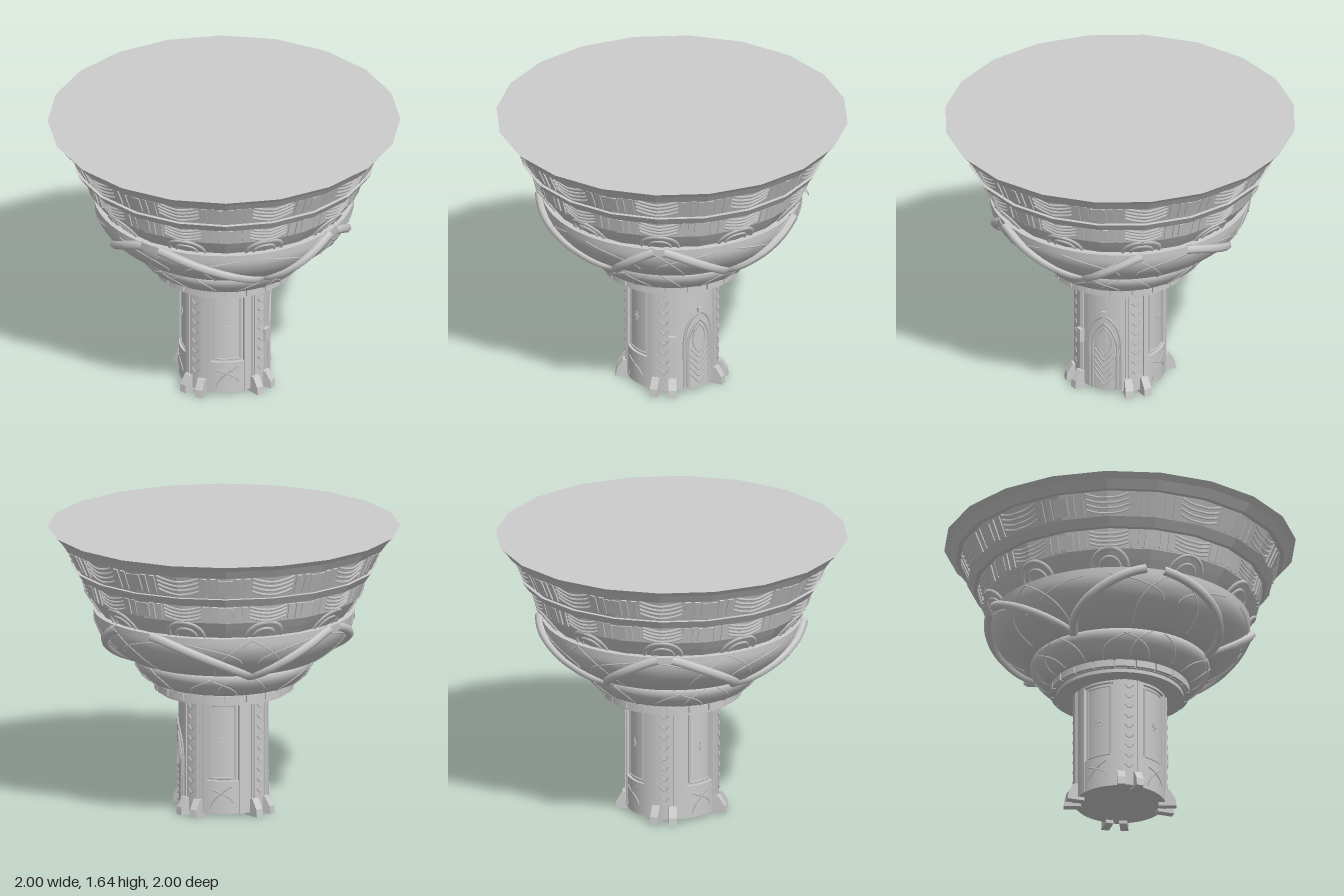
import * as THREE from 'three';

const D = Math.PI / 180;
const smooth = new THREE.MeshStandardMaterial({ color: 0xcccccc });
const flat = new THREE.MeshStandardMaterial({ color: 0xcccccc, flatShading: true });

// point at azimuth a (degrees, 0 = front, 90 = model's left), radius r, height y
const polar = (a, r, y) => new THREE.Vector3(Math.sin(a * D) * r, y, Math.cos(a * D) * r);

// linear radius lookup in a [radius, height] profile
function radiusAt(profile, y) {
  for (let i = 1; i < profile.length; i++) {
    const [r0, y0] = profile[i - 1], [r1, y1] = profile[i];
    if (y <= y1) return r0 + (r1 - r0) * Math.max(0, (y - y0) / (y1 - y0));
  }
  return profile[profile.length - 1][0];
}
// distance to the wall of a 20-sided prism whose corners lie at radius r
const facet = (a, r) => r * Math.cos(9 * D) / Math.cos(((((a % 18) + 18) % 18) - 9) * D);

const BOWL = [[0.5, 0.885], [0.55, 0.90], [0.625, 0.95], [0.68, 1.0], [0.715, 1.05], [0.735, 1.1], [0.74, 1.16]];
const CUSHION = [[0.38, 0.74], [0.43, 0.76], [0.475, 0.80], [0.503, 0.84], [0.51, 0.87], [0.505, 0.888]];
const UPPER = [[0.70, 1.15], [0.745, 1.21], [0.78, 1.26], [0.81, 1.37], [0.835, 1.371], [0.87, 1.42],
  [0.85, 1.421], [0.91, 1.56], [0.935, 1.561], [0.97, 1.61], [1.0, 1.64]];

export function createModel() {
  const model = new THREE.Group();
  const add = (name, geo, mat = smooth, parent = model) => {
    const m = new THREE.Mesh(geo, mat);
    m.name = name;
    parent.add(m);
    return m;
  };
  const group = (name) => {
    const g = new THREE.Group();
    g.name = name;
    model.add(g);
    return g;
  };
  const lathe = (name, pts, n, mat) =>
    add(name, new THREE.LatheGeometry(pts.map(p => new THREE.Vector2(...p)), n), mat);
  const tube = (name, pts, r, parent, seg = 12, sides = 4) =>
    add(name, new THREE.TubeGeometry(new THREE.CatmullRomCurve3(pts), seg, r, sides), smooth, parent);
  // curved block: part of a ring between two azimuths
  const sector = (name, a0, a1, r0, r1, y0, y1, parent) => {
    const s = new THREE.Shape();
    s.absarc(0, 0, r1, (a0 - 90) * D, (a1 - 90) * D, false);
    s.absarc(0, 0, r0, (a1 - 90) * D, (a0 - 90) * D, true);
    const geo = new THREE.ExtrudeGeometry(s, { depth: y1 - y0, bevelEnabled: false, curveSegments: 10 });
    geo.rotateX(-Math.PI / 2).translate(0, y0, 0);
    return add(name, geo, smooth, parent);
  };
  const box = (name, w, h, d, a, r, y, tilt, parent) => {
    const geo = new THREE.BoxGeometry(w, h, d).rotateX(tilt).translate(0, y, r).rotateY(a * D);
    return add(name, geo, flat, parent);
  };

  // faceted upper basin with a closed top
  lathe('upperBasin', [[0, 1.15], ...UPPER, [0, 1.64]], 20, flat);

  // rounded bowl and cushion
  const dense = (p) => new THREE.SplineCurve(p.map(q => new THREE.Vector2(...q))).getPoints(20).map(v => [v.x, v.y]);
  lathe('bowl', dense(BOWL), 60, smooth);
  lathe('bowlTop', [[0.74, 1.16], [0.66, 1.16]], 60, smooth);
  lathe('bowlUnderside', [[0.3, 0.885], [0.5, 0.885]], 60, smooth);
  lathe('cushion', dense(CUSHION), 60, smooth);
  lathe('cushionTop', [[0.505, 0.888], [0.4, 0.89]], 60, smooth);

  // collar under the cushion
  add('collarCore', new THREE.CylinderGeometry(0.38, 0.375, 0.04, 48).translate(0, 0.72, 0));
  add('collarSlab', new THREE.CylinderGeometry(0.36, 0.36, 0.025, 48).translate(0, 0.691, 0));
  const collar = group('collarStones');
  for (let i = 0; i < 20; i++) sector('collarStone', i * 18 + 0.6, i * 18 + 17.4, 0.34, 0.395, 0.702, 0.742, collar);

  // drapery, pilasters and arches around the basin
  const decor = group('basinDecoration');
  const bands = [[1.43, 1.555], [1.265, 1.365]];
  for (let i = 0; i < 10; i++) {
    const a = i * 36;
    for (const [y0, y1] of bands) {
      const h = y1 - y0, mid = (y0 + y1) / 2;
      const tilt = Math.atan2(radiusAt(UPPER, y1) - radiusAt(UPPER, y0), h);
      for (let k = 0; k < 4; k++) {
        const pts = [];
        for (let t = -1; t <= 1.001; t += 0.25) {
          const y = y1 - h * 0.22 * k - h * 0.22 * (1 - t * t) - 0.005;
          pts.push(polar(a + t * 8, facet(a + t * 8, radiusAt(UPPER, y)) + 0.004, y));
        }
        tube('swag', pts, 0.007, decor, 16);
      }
      for (const o of [-13.5, -10, 10, 13.5])
        box('pilaster', 0.03, h, 0.016, a + o, facet(a + o, radiusAt(UPPER, mid)), mid, tilt, decor);
      box('wallPanel', 0.085, h * 0.85, 0.01, a + 18, facet(a + 18, radiusAt(UPPER, mid)) - 0.004, mid, tilt, decor);
    }
    for (const [w, r] of [[8.5, 0.011], [5, 0.008]]) {
      const pts = [];
      for (let q = 0; q <= 180; q += 20) {
        const y = 1.16 + Math.sin(q * D) * w * 0.0118, b = a + Math.cos(q * D) * w;
        pts.push(polar(b, facet(b, radiusAt(UPPER, y)) + 0.004, y));
      }
      tube('arch', pts, r, decor, 20);
    }
  }

  // crossing straps over the bowl: [azimuth at the bowl edge, azimuth at the foot]
  const straps = group('bowlStraps');
  for (const [top, foot] of [[2, 40], [72, 40], [92, 142], [178, 142], [184, 226], [-92, -134], [-84, -30], [-2, -30]]) {
    const pts = [];
    for (let i = 0; i <= 10; i++) {
      const t = i / 10, y = 1.15 - 0.265 * Math.pow(t, 1.25);
      pts.push(polar(top + (foot - top) * t, radiusAt(BOWL, y) + 0.012, y));
    }
    tube('strap', pts, 0.026, straps, 24, 6);
  }

  // thin raised veins on the bowl and cushion
  const veins = group('veins');
  const vein = (profile, a0, a1, y0, y1) => {
    const pts = [];
    for (let i = 0; i <= 8; i++) {
      const t = i / 8, y = y0 + (y1 - y0) * t;
      pts.push(polar(a0 + (a1 - a0) * t * t, radiusAt(profile, y) + 0.001, y));
    }
    tube('vein', pts, 0.005, veins, 16);
  };
  for (let i = 0; i < 10; i++) {
    const a = i * 36 + 12, s = i % 2 ? 1 : -1;
    vein(BOWL, a, a + 18 * s, 0.9, 1.15);
    vein(BOWL, a + 14 * s, a - 12 * s, 1.0, 1.12);
    vein(CUSHION, a, a + 14 * s, 0.75, 0.88);
    vein(CUSHION, a + 15, a + 15 - 20 * s, 0.75, 0.86);
  }

  // column with three recessed windows
  add('columnCore', new THREE.CylinderGeometry(0.24, 0.24, 0.66, 48).translate(0, 0.35, 0));
  const column = group('column');
  const windows = [123, 226, 310], half = 22;
  for (const w of windows) {
    sector('windowSill', w - half, w + half, 0.2, 0.255, 0.02, 0.21, column);
    sector('windowLintel', w - half, w + half, 0.2, 0.255, 0.665, 0.68, column);
    const frame = [[-1, 0.225], [-1, 0.65], [1, 0.65], [1, 0.225], [-1, 0.225]];
    for (let i = 0; i < 4; i++) {
      const pts = [];
      for (let k = 0; k <= 8; k++) {
        const t = k / 8, [u0, y0] = frame[i], [u1, y1] = frame[i + 1];
        pts.push(polar(w + (u0 + (u1 - u0) * t) * (half - 4), 0.242, y0 + (y1 - y0) * t));
      }
      tube('windowFrame', pts, 0.006, column);
    }
    box('windowCross', 0.035, 0.008, 0.01, w, 0.241, 0.435, 0, column);
    box('windowCross', 0.008, 0.05, 0.01, w, 0.241, 0.435, 0, column);
    vein([[0.255, 0], [0.255, 1]], w - 15, w + 12, 0.04, 0.18);
    vein([[0.255, 0], [0.255, 1]], w + 14, w - 14, 0.08, 0.16);
  }
  // walls between the windows; the last one carries the door
  for (const [a0, a1] of [[-28, 101], [145, 204], [248, 288]])
    sector('wall', a0, a1, 0.2, 0.258, 0.02, 0.68, column);

  // pillars with chevrons and paired claw feet
  const claw = new THREE.Shape([[0.22, 0], [0.32, 0], [0.315, 0.045], [0.28, 0.1], [0.22, 0.1]].map(p => new THREE.Vector2(...p)));
  for (const a of [-4, 82, 175, 268]) {
    sector('pillar', a - 9, a + 9, 0.22, 0.266, 0.02, 0.68, column);
    for (const o of [-12, 12])
      box('pillarEdge', 0.012, 0.66, 0.012, a + o, 0.26, 0.35, 0, column);
    for (let k = 0; k < 9; k++) {
      const y = 0.13 + k * 0.062;
      tube('chevron', [polar(a - 5, 0.266, y + 0.022), polar(a, 0.268, y), polar(a + 5, 0.266, y + 0.022)], 0.005, column, 8);
    }
    for (const o of [-10, 10]) {
      const geo = new THREE.ExtrudeGeometry(claw, { depth: 0.045, bevelEnabled: false })
        .translate(0, 0, -0.0225).rotateY((a + o - 90) * D);
      add('clawFoot', geo, flat, column);
    }
  }

  // pointed door with frame, chevrons and handle
  const door = group('door'), da = 42;
  for (const s of [-1, 1]) {
    for (const [w, top] of [[21, 0.5], [16, 0.45]]) {
      const pts = [[w, 0.03], [w, 0.18], [w, 0.33], [w * 0.8, top - 0.08], [w * 0.45, top - 0.03], [0, top]]
        .map(([u, y]) => polar(da + s * u, 0.26, y));
      tube('doorFrame', pts, 0.008, door, 24);
    }
    tube('doorOval', [[0, 0.24], [7, 0.28], [9, 0.33], [7, 0.38], [0, 0.42]].map(([u, y]) => polar(da + s * u, 0.26, y)), 0.005, door);
  }
  for (let k = 0; k < 5; k++)
    tube('doorChevron', [-14, -7, 0, 7, 14].map(u => polar(da + u, 0.259, 0.05 + k * 0.04 + Math.abs(u) * 0.005)), 0.006, door, 16);
  box('doorFinial', 0.025, 0.035, 0.02, da, 0.26, 0.51, 0, door);
  box('doorHandle', 0.04, 0.08, 0.03, 6, 0.27, 0.33, 0, door);

  return model;
}
